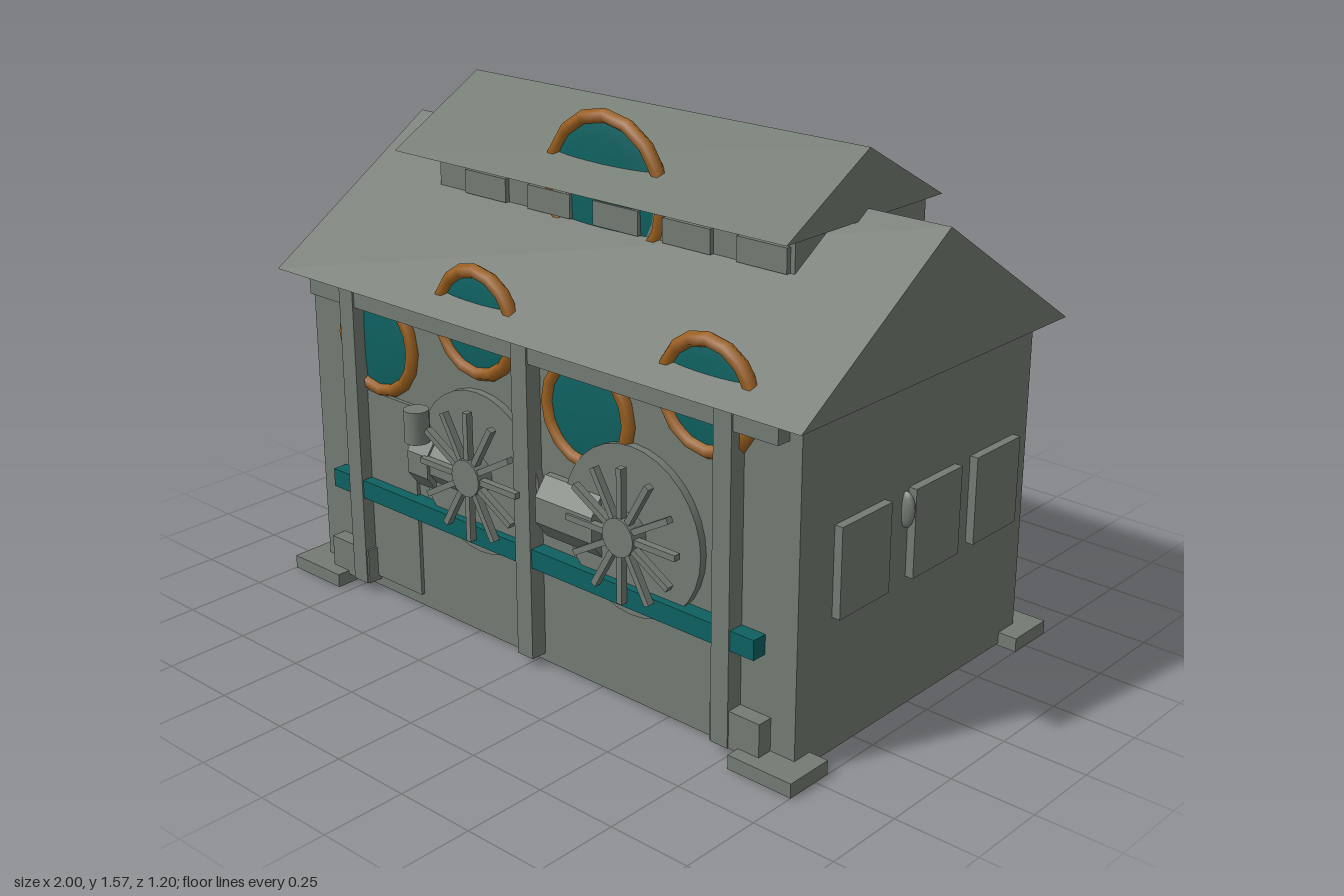
import * as THREE from 'three';

const mat = (name, color) => {
  const m = new THREE.MeshStandardMaterial({ color });
  m.name = name;
  return m;
};

export function createModel() {
  const model = new THREE.Group();
  model.name = 'workshop';
  const grey = mat('stone grey', 0x747b73);
  const teal = mat('teal', 0x0f6161);
  const copper = mat('copper', 0x9c601f);

  const add = (name, geometry, material, parent = model) => {
    const mesh = new THREE.Mesh(geometry, material);
    mesh.name = name;
    parent.add(mesh);
    return mesh;
  };
  // Box given by its limits on each axis
  const box = (name, x0, x1, y0, y1, z0, z1, material = grey) => {
    const mesh = add(name, new THREE.BoxGeometry(x1 - x0, y1 - y0, z1 - z0), material);
    mesh.position.set((x0 + x1) / 2, (y0 + y1) / 2, (z0 + z1) / 2);
    return mesh;
  };
  // Gabled prism with its ridge along x
  const roof = (name, halfX, eave, ridge, halfZ) => {
    const shape = new THREE.Shape([
      new THREE.Vector2(-halfZ, eave), new THREE.Vector2(halfZ, eave), new THREE.Vector2(0, ridge),
    ]);
    const geo = new THREE.ExtrudeGeometry(shape, { depth: halfX * 2, bevelEnabled: false });
    geo.translate(0, 0, -halfX).rotateY(Math.PI / 2);
    return add(name, geo, grey);
  };

  // Main hall and raised roof section
  box('hall', -0.94, 0.94, 0.006, 1, -0.525, 0.512);
  roof('mainRoof', 1, 0.992, 1.38, 0.597);
  box('clerestory', -0.675, 0.675, 1.1, 1.364, -0.357, 0.22);
  roof('upperRoof', 0.74, 1.352, 1.543, 0.34);
  for (let i = 0; i < 5; i++) {
    const x = -0.465 + i * 0.26;
    box('clerestoryWindow', x - 0.085, x + 0.085, 1.237, 1.308, 0.21, 0.235);
  }

  // Corner footings and plinth blocks
  for (const sx of [-1, 1]) {
    for (const sz of [-1, 1]) {
      const foot = box('footing', 0.79, 1, 0, 0.042, 0.448, 0.602);
      foot.position.x *= sx;
      foot.position.z *= sz;
      const block = box('plinthBlock', 0.69, 0.86, 0.03, 0.14, 0.5, 0.56);
      block.position.x *= sx;
      block.position.z *= sz;
    }
  }

  // Front frame: posts, top beam and teal rail
  for (const x of [-0.727, 0, 0.727]) box('frontPost', x - 0.03, x + 0.03, 0.03, 0.992, 0.51, 0.564);
  box('topBeam', -0.9, 0.9, 0.926, 0.982, 0.51, 0.558);
  box('rail', -0.836, 0.836, 0.316, 0.374, 0.51, 0.559, teal);

  // Round windows with copper rings
  const roundWindow = (x, y, z, radius) => {
    const g = new THREE.Group();
    g.name = 'roundWindow';
    g.position.set(x, y, z);
    model.add(g);
    add('ring', new THREE.TorusGeometry(radius, 0.022, 6, 16), copper, g);
    add('glass', new THREE.SphereGeometry(radius, 24, 12), teal, g).scale.z = 0.08;
  };
  roundWindow(0, 1.335, 0.212, 0.213);
  roundWindow(-0.215, 0.978, 0.514, 0.15);
  roundWindow(0.638, 0.978, 0.514, 0.15);
  roundWindow(-0.642, 0.822, 0.514, 0.15);
  roundWindow(0.215, 0.822, 0.514, 0.15);

  // Spoked wheels, each with a drive barrel beside it
  const wheel = (x, y) => {
    const g = new THREE.Group();
    g.name = 'spokedWheel';
    g.position.set(x, y, 0);
    model.add(g);
    const disc = (name, r, z0, z1, sides) => {
      const geo = new THREE.CylinderGeometry(r, r, z1 - z0, sides);
      add(name, geo.rotateX(Math.PI / 2).translate(0, 0, (z0 + z1) / 2), grey, g);
    };
    disc('wheelDisc', 0.247, 0.505, 0.535, 32);
    disc('hub', 0.056, 0.505, 0.588, 16);
    for (let i = 0; i < 12; i++) {
      const spoke = new THREE.BoxGeometry(0.018, 0.155, 0.022).translate(0, 0.12, 0.571);
      add('spoke', spoke, grey, g).rotation.z = (i * Math.PI) / 6;
    }
  };
  wheel(-0.205, 0.531);
  wheel(0.388, 0.531);

  const barrel = (x0, x1, y, r) => {
    const geo = new THREE.CylinderGeometry(r, r, x1 - x0, 8).toNonIndexed();
    geo.rotateZ(Math.PI / 2).rotateX(Math.PI / 8).scale(1, 1, 0.75);
    geo.computeVertexNormals();
    add('driveBarrel', geo, grey).position.set((x0 + x1) / 2, y, 0.505);
  };
  barrel(-0.475, -0.39, 0.503, 0.09);
  barrel(-0.39, -0.23, 0.51, 0.076);
  barrel(0.065, 0.28, 0.512, 0.1);
  add('exhaustStub', new THREE.CylinderGeometry(0.038, 0.038, 0.1, 12), grey).position.set(-0.43, 0.628, 0.565);

  // Doors and windows
  box('frontDoor', -0.79, -0.49, 0.045, 0.658, 0.5, 0.524);
  box('backDoor', -0.6, -0.33, 0.04, 0.66, -0.542, -0.52);
  box('backWindow', -0.03, 0.545, 0.25, 0.66, -0.552, -0.52);
  for (const z of [0.263, -0.06, -0.348]) {
    box('leftWindow', 0.93, 0.965, 0.404, 0.665, z - 0.107, z + 0.107);
    box('rightWindow', -0.965, -0.93, 0.404, 0.665, z - 0.107, z + 0.107);
  }
  const handle = add('wallHandle', new THREE.SphereGeometry(1, 12, 8), grey);
  handle.scale.set(0.028, 0.053, 0.016);
  handle.position.set(0.945, 0.607, 0.063);

  return model;
}
